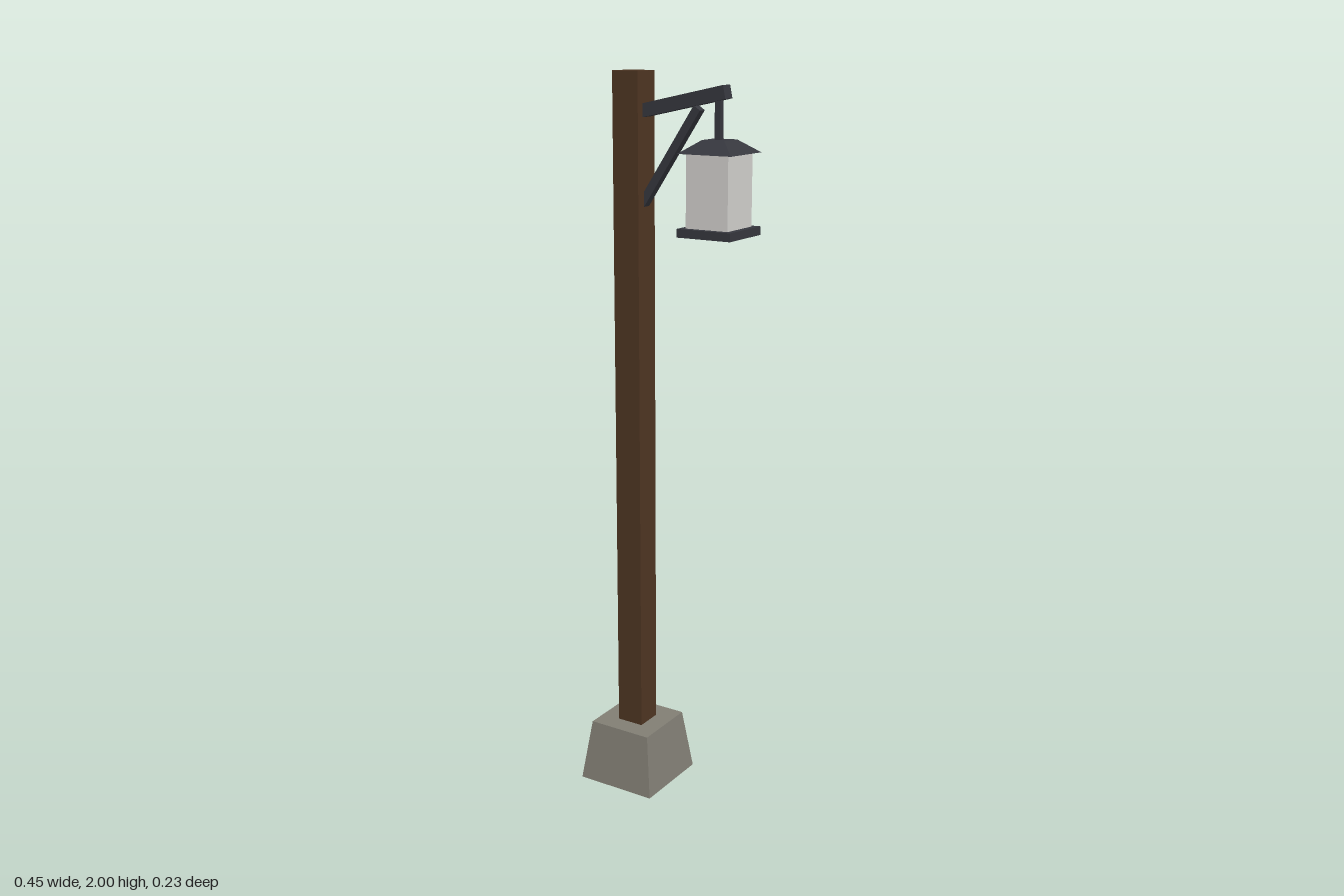
import * as THREE from 'three';

const wood = new THREE.MeshStandardMaterial({ name: 'wood', color: 0x4e3522 });
const stone = new THREE.MeshStandardMaterial({ name: 'stone', color: 0x817e74 });
const iron = new THREE.MeshStandardMaterial({ name: 'iron', color: 0x36373e });
const glass = new THREE.MeshStandardMaterial({ name: 'glass', color: 0xd2d0cd });

function box(name, material, w, h, d, x, y, z = 0) {
  const mesh = new THREE.Mesh(new THREE.BoxGeometry(w, h, d), material);
  mesh.name = name;
  mesh.position.set(x, y, z);
  return mesh;
}

// Square frustum with flat faces, standing on y
function frustum(name, material, bottom, top, h, x, y) {
  const geo = new THREE.CylinderGeometry(top * Math.SQRT1_2, bottom * Math.SQRT1_2, h, 4)
    .rotateY(Math.PI / 4).toNonIndexed();
  geo.computeVertexNormals();
  const mesh = new THREE.Mesh(geo, material);
  mesh.name = name;
  mesh.position.set(x, y + h / 2, 0);
  return mesh;
}

// Straight beam between two points in the xy plane
function beam(name, material, x1, y1, x2, y2, thick, depth) {
  const mesh = box(name, material, Math.hypot(x2 - x1, y2 - y1), thick, depth,
    (x1 + x2) / 2, (y1 + y2) / 2);
  mesh.rotation.z = Math.atan2(y2 - y1, x2 - x1);
  return mesh;
}

export function createModel() {
  const model = new THREE.Group();
  model.name = 'lampPost';
  const postX = -0.11, lampX = 0.148;

  // Footing and post
  model.add(frustum('footing', stone, 0.235, 0.188, 0.175, postX, 0));
  model.add(box('post', wood, 0.078, 1.84, 0.078, postX, 1.08));

  // Bracket
  model.add(beam('arm', iron, -0.09, 1.898, 0.17, 1.953, 0.034, 0.035));
  model.add(beam('brace', iron, -0.085, 1.655, 0.088, 1.912, 0.022, 0.024));

  // Hanging lantern
  const lantern = new THREE.Group();
  lantern.name = 'lantern';
  lantern.position.x = lampX;
  lantern.add(box('hanger', iron, 0.016, 0.12, 0.016, -0.002, 1.885));
  lantern.add(frustum('roof', iron, 0.155, 0.064, 0.033, 0, 1.803));
  lantern.add(box('pane', glass, 0.122, 0.19, 0.122, 0, 1.71));
  lantern.add(box('tray', iron, 0.156, 0.022, 0.156, 0, 1.606));
  model.add(lantern);

  return model;
}
